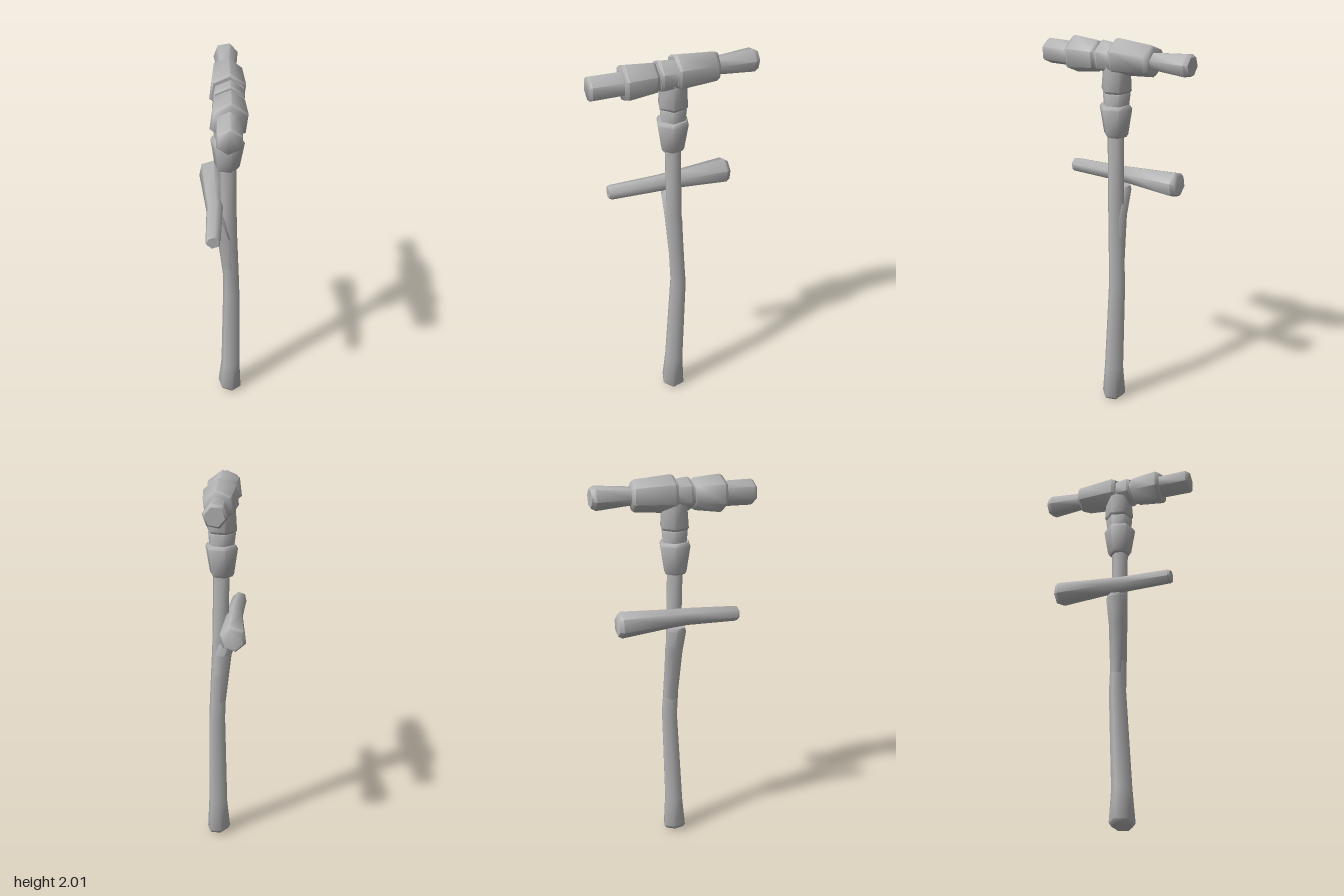
import * as THREE from 'three';
import { toCreasedNormals } from 'three/addons/utils/BufferGeometryUtils.js';

const SIDES = 6;

// Six-sided loft through sections [x, y, z, radius, tilt]; rings lie across the given axis.
function loft(axis, sections, phase) {
  const pos = [];
  const index = [];
  const last = sections.length - 1;
  for (const [x, y, z, r, tilt = 0] of sections) {
    for (let j = 0; j < SIDES; j++) {
      const a = phase + (j / SIDES) * Math.PI * 2;
      const c = Math.cos(a) * r;
      const s = Math.sin(a) * r;
      if (axis === 'y') pos.push(x + c, y + tilt * c, z + s);
      else pos.push(x + s, y + c, z + tilt * s);
    }
  }
  for (let i = 0; i < last; i++) {
    for (let j = 0; j < SIDES; j++) {
      const k = (j + 1) % SIDES;
      const a = i * SIDES + j, b = i * SIDES + k;
      const c = a + SIDES, d = b + SIDES;
      index.push(a, c, b, b, c, d);
    }
  }
  // end caps
  const top = last * SIDES;
  for (let j = 1; j < SIDES - 1; j++) {
    index.push(0, j, j + 1, top, top + j + 1, top + j);
  }
  const g = new THREE.BufferGeometry();
  g.setAttribute('position', new THREE.Float32BufferAttribute(pos, 3));
  g.setIndex(index);
  return toCreasedNormals(g, 1.08);
}

export function createModel() {
  const group = new THREE.Group();
  const grey = new THREE.MeshStandardMaterial({ color: 0xb4b4b4 });
  grey.name = 'plain grey';

  const add = (name, axis, phase, sections) => {
    const mesh = new THREE.Mesh(loft(axis, sections, phase), grey);
    mesh.name = name;
    group.add(mesh);
  };
  const turn = Math.PI / 12;

  // long bent pole with a flared foot
  add('pole', 'y', turn, [
    [0.042, 0.012, 0.008, 0.052, -0.2],
    [0.042, 0.03, 0.008, 0.066, -0.2],
    [0.046, 0.2, 0.005, 0.053],
    [0.048, 0.72, -0.018, 0.045],
    [0.046, 0.8, -0.014, 0.044],
    [0.032, 1.15, 0, 0.043],
    [0.025, 1.55, 0.005, 0.044],
  ]);

  // short branch that carries the grip
  add('branchStub', 'y', turn, [
    [0.046, 0.76, -0.016, 0.038],
    [0.02, 1.09, -0.003, 0.05],
    [-0.022, 1.22, 0, 0.052],
    [-0.026, 1.24, 0, 0.045],
  ]);

  // side grip, thicker at the back
  add('sideGrip', 'z', 0.2, [
    [-0.053, 1.29, -0.325, 0.054],
    [-0.053, 1.292, -0.305, 0.068],
    [-0.045, 1.293, -0.04, 0.048],
    [-0.04, 1.292, 0.05, 0.044],
    [-0.051, 1.283, 0.31, 0.039],
    [-0.051, 1.283, 0.322, 0.033],
  ]);

  // collar below the head
  add('collar', 'y', turn, [
    [0.022, 1.512, 0.005, 0.055],
    [0.022, 1.527, 0.005, 0.064],
    [0.024, 1.66, 0.005, 0.086],
    [0.024, 1.677, 0.005, 0.076],
  ]);

  // neck ring and stem up into the head
  add('neckRing', 'y', turn, [
    [0.024, 1.65, 0.003, 0.064],
    [0.022, 1.735, 0.002, 0.073],
    [0.022, 1.747, 0.002, 0.066],
  ]);
  add('headStem', 'y', turn, [
    [0.022, 1.738, 0.002, 0.07],
    [0.022, 1.752, 0.002, 0.079],
    [0.022, 1.9, 0, 0.069],
  ]);

  // crosspiece, from the flared back tip to the front rod
  add('backTip', 'z', 0.35, [
    [0.023, 1.92, -0.425, 0.048],
    [0.023, 1.92, -0.403, 0.061],
    [0.025, 1.918, -0.2, 0.044],
  ]);
  add('backSleeve', 'z', 0.12, [
    [0.025, 1.916, -0.222, 0.066, 0.12],
    [0.025, 1.916, -0.205, 0.079, 0.14],
    [0.024, 1.915, -0.015, 0.094],
    [0.024, 1.915, 0.002, 0.084],
  ]);
  add('middleSleeve', 'z', 0.12, [
    [0.028, 1.908, -0.02, 0.073],
    [0.026, 1.908, 0.07, 0.083],
    [0.026, 1.908, 0.084, 0.076],
  ]);
  add('headCore', 'z', 0.12, [
    [0.026, 1.905, 0.05, 0.07],
    [0.026, 1.905, 0.13, 0.07],
  ]);
  add('frontSleeve', 'z', 0.12, [
    [0.027, 1.905, 0.09, 0.068],
    [0.027, 1.905, 0.105, 0.08],
    [0.024, 1.9, 0.242, 0.095],
    [0.024, 1.9, 0.258, 0.085],
  ]);
  add('frontRod', 'z', 0.08, [
    [0.022, 1.897, 0.22, 0.063],
    [0.022, 1.895, 0.41, 0.065],
    [0.022, 1.895, 0.422, 0.056],
  ]);

  return group;
}
